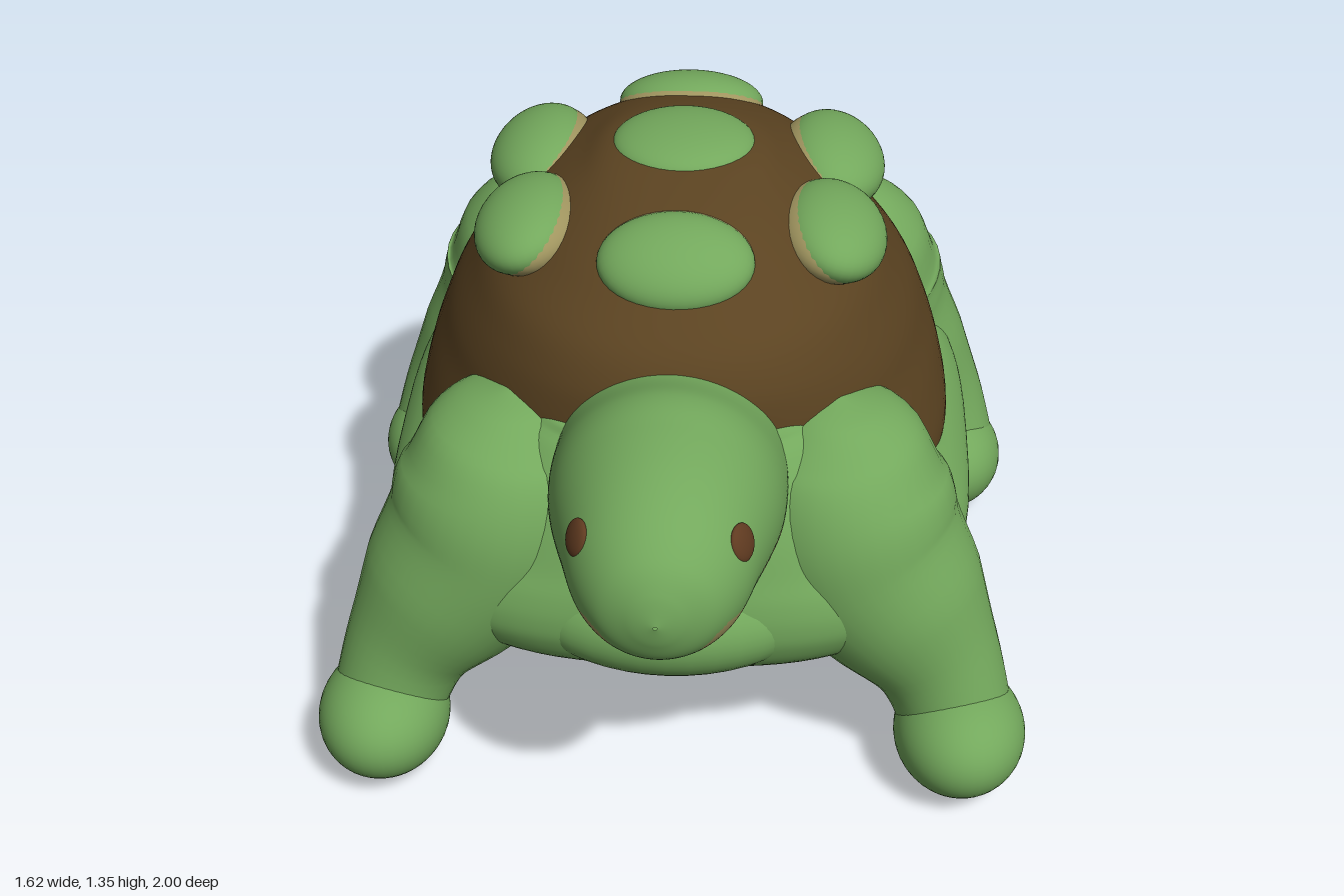
import * as THREE from 'three';

const paint = (name, color) => Object.assign(new THREE.MeshStandardMaterial({ color }), { name });

// Catmull-Rom blend through rows of numbers, t from 0 to 1
function blend(rows, t) {
  const n = rows.length - 1, f = t * n, i = Math.min(Math.floor(f), n - 1), u = f - i;
  const [a, b, c, d] = [i - 1, i, i + 1, i + 2].map(k => rows[Math.max(0, Math.min(n, k))]);
  return b.map((_, k) => 0.5 * (2 * b[k] + (c[k] - a[k]) * u
    + (2 * a[k] - 5 * b[k] + 4 * c[k] - d[k]) * u * u
    + (3 * b[k] - a[k] - 3 * c[k] + d[k]) * u * u * u));
}

// Closed rings joined into a smooth skin; pick(centre) sorts faces into material groups
function loft(ring, steps, sides, pick = () => 0) {
  const pos = [], faces = [[], []];
  for (let i = 0; i <= steps; i++) {
    const point = ring(i / steps);
    for (let j = 0; j < sides; j++) pos.push(...point((j / sides) * Math.PI * 2));
  }
  const centre = ids => [0, 1, 2].map(k => ids.reduce((s, v) => s + pos[v * 3 + k], 0) / ids.length);
  for (let i = 0; i < steps; i++) {
    for (let j = 0; j < sides; j++) {
      const a = i * sides + j, c = i * sides + (j + 1) % sides, b = a + sides, d = c + sides;
      faces[pick(centre([a, b, c, d]))].push(a, b, c, b, d, c);
    }
  }
  const geo = new THREE.BufferGeometry();
  geo.setAttribute('position', new THREE.Float32BufferAttribute(pos, 3));
  geo.setIndex([...faces[0], ...faces[1]]);
  geo.addGroup(0, faces[0].length, 0);
  geo.addGroup(faces[0].length, faces[1].length, 1);
  geo.computeVertexNormals();
  return geo;
}

const power = (v, e) => Math.sign(v) * Math.abs(v) ** e;

// Stack of level rings: [y, half width, front z, back z]
function stack(rows, exponent) {
  const e = 2 / exponent;
  return loft(t => {
    const [y, w, f, b] = blend(rows, t);
    return a => [w * power(Math.cos(a), e), y, (f + b) / 2 + (f - b) / 2 * power(Math.sin(a), e)];
  }, 60, 96);
}

// Limb skin around a path: [x, y, z, radius]
function limbSkin(rows, side) {
  const path = new THREE.CatmullRomCurve3(rows.map(([x, y, z]) => new THREE.Vector3(x * side, y, z)));
  return loft(t => {
    const [x, y, z, r] = blend(rows, t), T = path.getTangent(t);
    const N = new THREE.Vector3(0, 0, 1).cross(T).normalize();
    const B = N.clone().cross(T);
    return a => new THREE.Vector3(x * side, y, z)
      .addScaledVector(N, r * Math.cos(a)).addScaledVector(B, r * Math.sin(a)).toArray();
  }, 36, 36);
}

export function createModel() {
  const model = new THREE.Group();
  model.name = 'turtle';
  const green = paint('skin green', 0x73a85c);
  const brown = paint('shell brown', 0x5b4321);
  const tan = paint('belly tan', 0xa0955f);
  const eyeBrown = paint('eye brown', 0x5f3a20);

  const add = (name, geo, material) => {
    const mesh = new THREE.Mesh(geo, material);
    mesh.name = name;
    model.add(mesh);
    return mesh;
  };
  const ball = new THREE.SphereGeometry(1, 40, 28);
  const oval = (name, material, at, radii, tilt = [0, 0, 0]) => {
    const mesh = add(name, ball, material);
    mesh.position.set(...at);
    mesh.scale.set(...radii);
    mesh.rotation.set(...tilt);
    return mesh;
  };

  // Body, full at the shoulders and haunches, with a rounded chest and belly
  add('body', stack([
    [0.28, 0.38, 0.33, -0.62], [0.32, 0.5, 0.46, -0.76], [0.39, 0.62, 0.55, -0.9],
    [0.46, 0.675, 0.59, -0.975], [0.52, 0.68, 0.6, -0.995], [0.58, 0.645, 0.595, -0.985],
    [0.64, 0.585, 0.58, -0.972], [0.72, 0.53, 0.56, -0.95], [0.8, 0.49, 0.53, -0.925],
    [0.86, 0.45, 0.5, -0.888], [0.905, 0.4, 0.465, -0.81], [0.935, 0.3, 0.4, -0.6],
    [0.945, 0.01, -0.15, -0.17],
  ], 3.1), green);
  oval('chest', green, [0, 0.5, 0.4], [0.36, 0.17, 0.25]);
  oval('belly', tan, [0, 0.42, -0.15], [0.49, 0.3, 0.6]);

  // Domed shell showing between the shoulders and haunches
  add('shell', stack([
    [0.5, 0.6, 0.42, -0.8], [0.62, 0.625, 0.45, -0.85], [0.75, 0.6, 0.45, -0.885],
    [0.86, 0.562, 0.45, -0.885], [0.94, 0.53, 0.45, -0.83], [1.02, 0.485, 0.44, -0.76],
    [1.1, 0.435, 0.4, -0.68], [1.17, 0.37, 0.32, -0.63], [1.22, 0.31, 0.25, -0.57],
    [1.27, 0.235, 0.15, -0.47], [1.31, 0.17, 0, -0.34], [1.325, 0.08, -0.09, -0.25],
    [1.33, 0.003, -0.165, -0.171],
  ], 2.15), brown);

  // Raised shell plates with a thin pale inner edge
  const plates = [
    ['frontPlate', [0, 1.215, 0.205], [0.17, 0.075, 0.125], [0.4, 0, 0]],
    ['backPlate', [0, 1.215, -0.535], [0.17, 0.075, 0.125], [-0.4, 0, 0]],
  ];
  for (const s of [1, -1]) {
    for (const z of [0, -0.33]) {
      plates.push(['sidePlate', [s * 0.34, 1.185, z], [0.12, 0.08, 0.178], [0, 0, -s * 0.3]]);
    }
  }
  for (const [name, at, radii, tilt] of plates) {
    oval(name, green, at, radii, tilt);
    const inward = new THREE.Vector3(-at[0], 0, (-0.165 - at[2]) * 0.6).setLength(0.012);
    oval(name + 'Edge', tan, [at[0] + inward.x, at[1] - 0.005, at[2] + inward.z], radii, tilt);
  }
  oval('topPlate', green, [0, 1.305, -0.165], [0.16, 0.05, 0.15]);

  // Head and neck, with a pale chin: [z, half width, centre y, half height]
  const headRows = [
    [1, 0.004, 0.86, 0.004], [0.985, 0.06, 0.865, 0.065], [0.95, 0.125, 0.865, 0.125],
    [0.88, 0.175, 0.87, 0.175], [0.78, 0.208, 0.88, 0.205], [0.66, 0.238, 0.87, 0.237],
    [0.55, 0.252, 0.845, 0.265], [0.42, 0.252, 0.82, 0.25], [0.25, 0.23, 0.83, 0.22],
  ];
  const isChin = ([x, y, z]) =>
    Number(z > 0.575 && y < 0.73 + 0.09 * THREE.MathUtils.smoothstep(Math.abs(x), 0.05, 0.15));
  add('head', loft(t => {
    const [z, w, y, h] = blend(headRows, t);
    return a => [w * Math.cos(a), y + h * Math.sin(a), z];
  }, 96, 120, isChin), [green, tan]);

  // Limbs, feet and eyes on both sides
  const frontRows = [
    [0.35, 0.945, 0.29, 0.01], [0.35, 0.915, 0.29, 0.11], [0.355, 0.84, 0.29, 0.195],
    [0.365, 0.71, 0.305, 0.245], [0.41, 0.58, 0.32, 0.245], [0.51, 0.44, 0.35, 0.208],
    [0.6, 0.3, 0.38, 0.15], [0.65, 0.17, 0.41, 0.13],
  ];
  const hindRows = [
    [0.38, 0.95, -0.58, 0.01], [0.38, 0.915, -0.59, 0.11], [0.38, 0.82, -0.62, 0.2],
    [0.38, 0.68, -0.66, 0.245], [0.43, 0.56, -0.68, 0.235], [0.53, 0.42, -0.69, 0.19],
    [0.61, 0.29, -0.69, 0.148], [0.65, 0.17, -0.67, 0.14],
  ];
  for (const [s, label] of [[1, 'left'], [-1, 'right']]) {
    add(label + 'FrontLeg', limbSkin(frontRows, s), green);
    add(label + 'HindLeg', limbSkin(hindRows, s), green);
    oval(label + 'FrontFoot', green, [s * 0.66, 0.14, 0.45], [0.15, 0.137, 0.195], [-0.15, 0, 0]);
    oval(label + 'HindFoot', green, [s * 0.66, 0.14, -0.645], [0.15, 0.137, 0.19], [-0.15, 0, 0]);
    const eye = oval(label + 'Eye', eyeBrown, [s * 0.165, 0.96, 0.845], [0.038, 0.04, 0.014]);
    eye.lookAt(s * 1.0, 1.3, 1.25);
  }
  return model;
}
